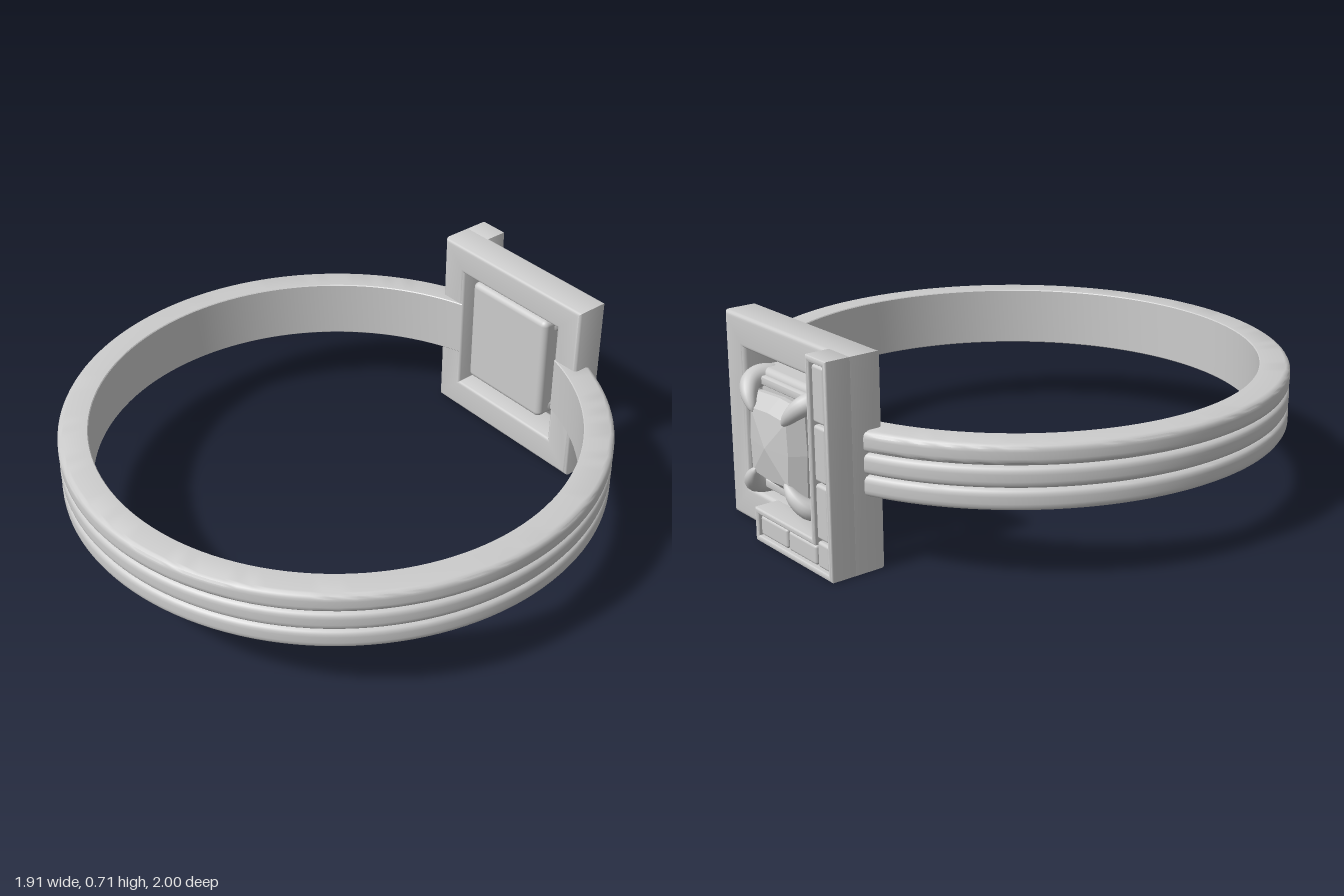
import * as THREE from 'three';
import { toCreasedNormals } from 'three/addons/utils/BufferGeometryUtils.js';
import { RoundedBoxGeometry } from 'three/addons/geometries/RoundedBoxGeometry.js';

const V = (x, y, z) => new THREE.Vector3(x, y, z);
const material = new THREE.MeshStandardMaterial({ color: 0xcccccc });
const doubleSided = new THREE.MeshStandardMaterial({ color: 0xcccccc, side: THREE.DoubleSide });
const faceted = new THREE.MeshStandardMaterial({ color: 0xcccccc, flatShading: true });

function add(parent, name, geometry, mat = material) {
  const mesh = new THREE.Mesh(geometry, mat);
  mesh.name = name;
  parent.add(mesh);
  return mesh;
}

const rect = (x0, y0, x1, y1) => [[x0, y0], [x1, y0], [x1, y1], [x0, y1]];
const toPoints = (list) => list.map(([x, y]) => new THREE.Vector2(x, y));

// Bevelled plate with an opening, between two z values
function plate(outline, hole, z0, z1, bevel) {
  const shape = new THREE.Shape(toPoints(outline));
  shape.holes.push(new THREE.Path(toPoints(hole)));
  const geometry = new THREE.ExtrudeGeometry(shape, {
    depth: z1 - z0 - 2 * bevel, bevelThickness: bevel, bevelSize: bevel,
    bevelOffset: -bevel, bevelSegments: 4,
  });
  geometry.translate(0, 0, z0 + bevel);
  return toCreasedNormals(geometry, 0.7);
}

// L-shaped outline running down the column and along the foot
const ell = (x0, y0, x1, y1, xEnd, yTop) =>
  [[x0, y0], [xEnd, y0], [xEnd, y1], [x1, y1], [x1, yTop], [x0, yTop]];

// Band section: three rounded ridges outside, smooth wall inside
function bandGeometry() {
  const outer = 0.955, inner = 0.85, bottom = 0.25, ridge = 0.0717;
  const profile = [];
  for (let band = 0; band < 3; band++) {
    for (let i = 0; i <= 10; i++) {
      const u = -Math.cos((i / 10) * Math.PI);
      profile.push([outer - 0.02 * u ** 6, bottom + ridge * (band + 0.5 + u / 2)]);
    }
  }
  const top = bottom + 3 * ridge;
  profile.push([inner + 0.003, top], [inner, top - 0.003], [inner, bottom + 0.003],
    [inner + 0.003, bottom], [outer - 0.02, bottom]);
  const gap = 0.295;
  const lathe = new THREE.LatheGeometry(toPoints(profile), 120, gap - Math.PI, 2 * (Math.PI - gap));
  return toCreasedNormals(lathe, 0.7);
}

// Claw: a tube that narrows to a rounded tip
function clawGeometry(points, radius) {
  const curve = new THREE.CatmullRomCurve3(points);
  const steps = 32, sides = 14;
  const geometry = new THREE.TubeGeometry(curve, steps, radius, sides);
  const pos = geometry.attributes.position;
  const p = V(0, 0, 0);
  for (let i = 0; i < pos.count; i++) {
    const t = Math.floor(i / (sides + 1)) / steps;
    const centre = curve.getPointAt(t);
    const scale = (1 - 0.55 * t * t) * Math.sqrt(1 - t ** 8);
    p.fromBufferAttribute(pos, i).sub(centre).multiplyScalar(scale).add(centre);
    pos.setXYZ(i, p.x, p.y, p.z);
  }
  geometry.computeVertexNormals();
  return geometry;
}

// Gem: eight-sided rings from the base to a shallow peak
function gemGeometry() {
  const rings = [[0.12, -0.885], [0.148, -0.918], [0.148, -0.935], [0.11, -0.982], [0, -1.0]];
  const corner = (k, i) => {
    const [w, z] = rings[k];
    const a = (i * Math.PI) / 4;
    const r = w * (i % 2 ? 1.33 : 1);
    return V(r * Math.cos(a), r * Math.sin(a), z);
  };
  const points = [];
  for (let k = 0; k < rings.length - 1; k++) {
    for (let i = 0; i < 8; i++) {
      const a = corner(k, i), b = corner(k, i + 1);
      const c = corner(k + 1, i + 1), d = corner(k + 1, i);
      points.push(a, d, b);
      if (k < rings.length - 2) points.push(b, d, c);
    }
  }
  const geometry = new THREE.BufferGeometry().setFromPoints(points);
  geometry.computeVertexNormals();
  return geometry;
}

export function createModel() {
  const model = new THREE.Group();
  model.name = 'ring';

  // Finger band, open where it meets the frame
  add(model, 'band', bandGeometry(), doubleSided).position.z = 0.042;

  // Square frame
  add(model, 'frame', plate(rect(-0.352, 0, 0.352, 0.708),
    rect(-0.242, 0.115, 0.242, 0.598), -0.9, -0.772, 0.016));

  // Raised L-shaped channel with a row of small stones
  const channel = new THREE.Group();
  channel.name = 'channel';
  model.add(channel);
  add(channel, 'channelRim', plate(ell(-0.352, 0, -0.242, 0.115, 0.09, 0.708),
    ell(-0.332, 0.02, -0.26, 0.095, 0.072, 0.688), -0.975, -0.88, 0.007));
  const smallStone = (x, y, w, h) => add(channel, 'smallStone',
    new RoundedBoxGeometry(w - 0.008, h - 0.008, 0.075, 3, 0.01)).position.set(x, y, -0.93);
  const heights = [0.095, 0.19, 0.19, 0.192];
  let y = 0.02;
  for (const h of heights) {
    smallStone(-0.296, y + h / 2, 0.072, h);
    y += h;
  }
  for (let i = 0; i < 2; i++) smallStone(-0.177 + i * 0.166, 0.0575, 0.166, 0.075);

  // Central setting, slightly off centre inside the frame
  const setting = new THREE.Group();
  setting.name = 'setting';
  setting.position.set(-0.03, 0.355, 0);
  model.add(setting);
  add(setting, 'settingBase', new RoundedBoxGeometry(0.386, 0.42, 0.105, 4, 0.022))
    .position.z = -0.8525;
  add(setting, 'seat', plate(rect(-0.178, -0.19, 0.178, 0.19),
    rect(-0.152, -0.16, 0.152, 0.16), -0.922, -0.88, 0.008));
  add(setting, 'gem', gemGeometry(), faceted).scale.y = 1.03;

  // Four claws growing out of the base and gripping the gem corners
  const path = [[0.13, 0.145, -0.835], [0.158, 0.174, -0.865], [0.166, 0.18, -0.905],
    [0.156, 0.17, -0.944], [0.128, 0.142, -0.97], [0.085, 0.095, -0.984]];
  for (const sx of [-1, 1]) {
    for (const sy of [-1, 1]) {
      add(setting, 'claw', clawGeometry(path.map(([x, cy, z]) => V(sx * x, sy * cy, z)), 0.04));
    }
  }
  return model;
}
